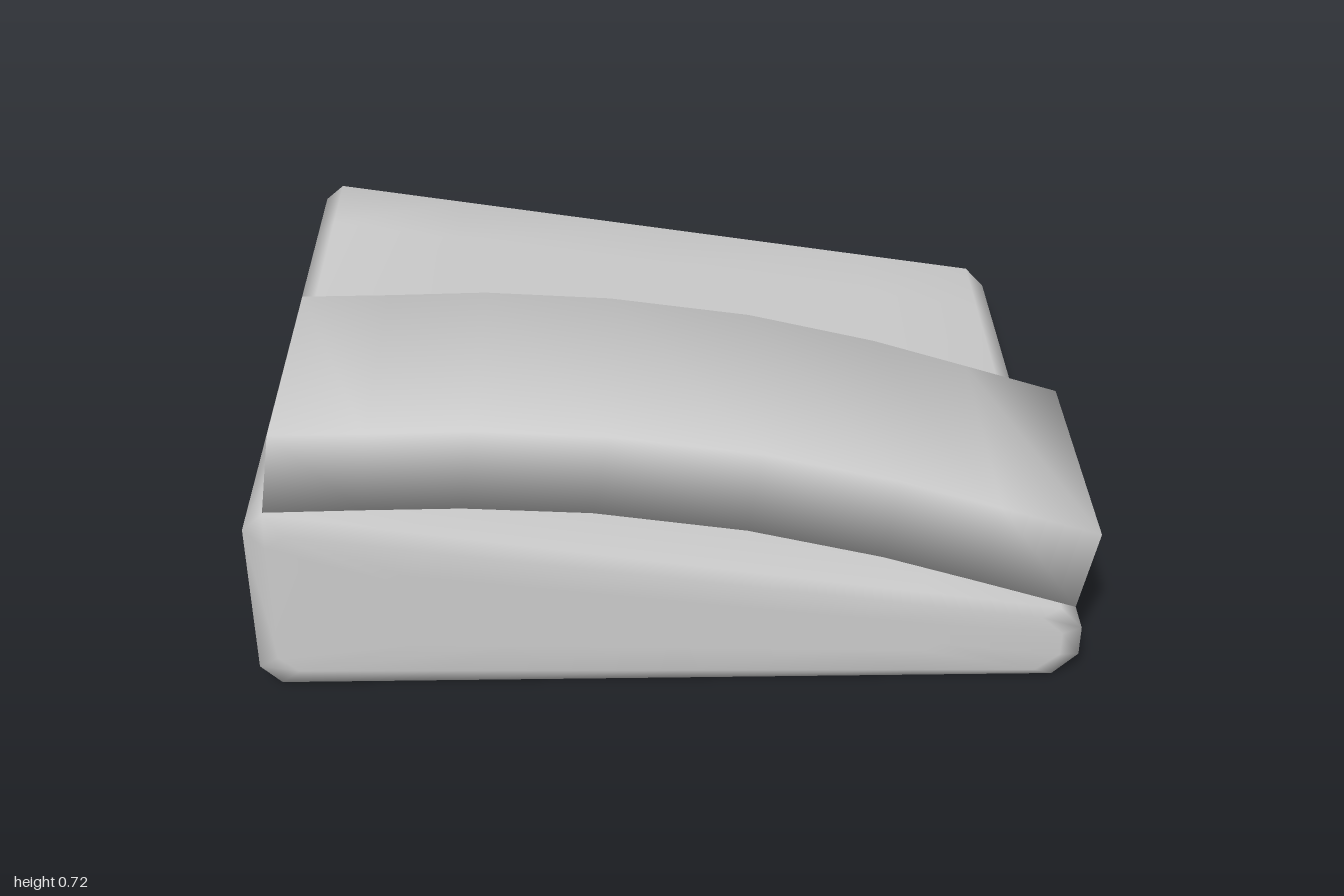
import * as THREE from 'three';

// Closed smooth skin over convex rings, each anticlockwise when seen from the last ring's side
function loft(rings) {
  const n = rings[0].length, last = (rings.length - 1) * n, index = [];
  for (let r = 0; r < rings.length - 1; r++) {
    for (let i = 0; i < n; i++) {
      const a = r * n + i, b = r * n + (i + 1) % n;
      index.push(a, b, b + n, a, b + n, a + n);
    }
  }
  for (let i = 1; i < n - 1; i++) {
    index.push(0, i + 1, i);
    index.push(last, last + i, last + i + 1);
  }
  const geometry = new THREE.BufferGeometry();
  geometry.setAttribute('position', new THREE.Float32BufferAttribute(rings.flat(2), 3));
  geometry.setIndex(index);
  geometry.computeVertexNormals();
  return geometry;
}

export function createModel() {
  const model = new THREE.Group();
  const grey = new THREE.MeshStandardMaterial({ color: 0xcccccc });
  grey.name = 'light grey';

  // Sloping base: chamfered wedge profile, swept from back to front
  const profile = [
    [-0.95, 0], [-0.6, 0], [0, 0], [0.6, 0], [0.92, 0], [0.98, 0.06], [0.98, 0.14], [0.925, 0.2],
    [0.6, 0.252], [0, 0.348], [-0.6, 0.444], [-0.95, 0.5], [-1, 0.457], [-1, 0.05],
  ];
  // Each station is z, then the profile's width and height scale
  const half = [[0, 1, 1], [0.6, 1, 1], [0.83, 1, 1], [0.845, 0.95, 0.8], [0.845, 0.65, 0.4]];
  const stations = [...half.slice(1).reverse().map(([z, w, h]) => [-z, w, h]), ...half];
  const baseRings = stations.map(([z, w, h]) => profile.map(([x, y]) => {
    const mid = 0.175 - 0.08 * x;
    const midScaled = 0.175 - 0.08 * x * w;
    return [x * w, midScaled + (y - mid) * h, z];
  }));
  const base = new THREE.Mesh(loft(baseRings), grey);
  base.name = 'wedgeBase';
  model.add(base);

  // Arched bar: rectangular section following a bend; lower x, y then upper x, y
  const bend = [
    [-0.95, 0.502, -0.918, 0.715], [-0.72, 0.506, -0.7, 0.717], [-0.49, 0.508, -0.46, 0.722],
    [-0.19, 0.491, -0.15, 0.702], [0.17, 0.436, 0.2, 0.65], [0.49, 0.355, 0.52, 0.57],
    [0.72, 0.28, 0.76, 0.492], [0.96, 0.2, 1, 0.413],
  ];
  const barRings = bend.map(([x0, y0, x1, y1]) => [
    [x0, y0, 0.825], [x0, y0, 0.2], [x1, y1, 0.2], [x1, y1, 0.825],
  ]);
  const bar = new THREE.Mesh(loft(barRings), grey);
  bar.name = 'archedBar';
  model.add(bar);

  return model;
}
